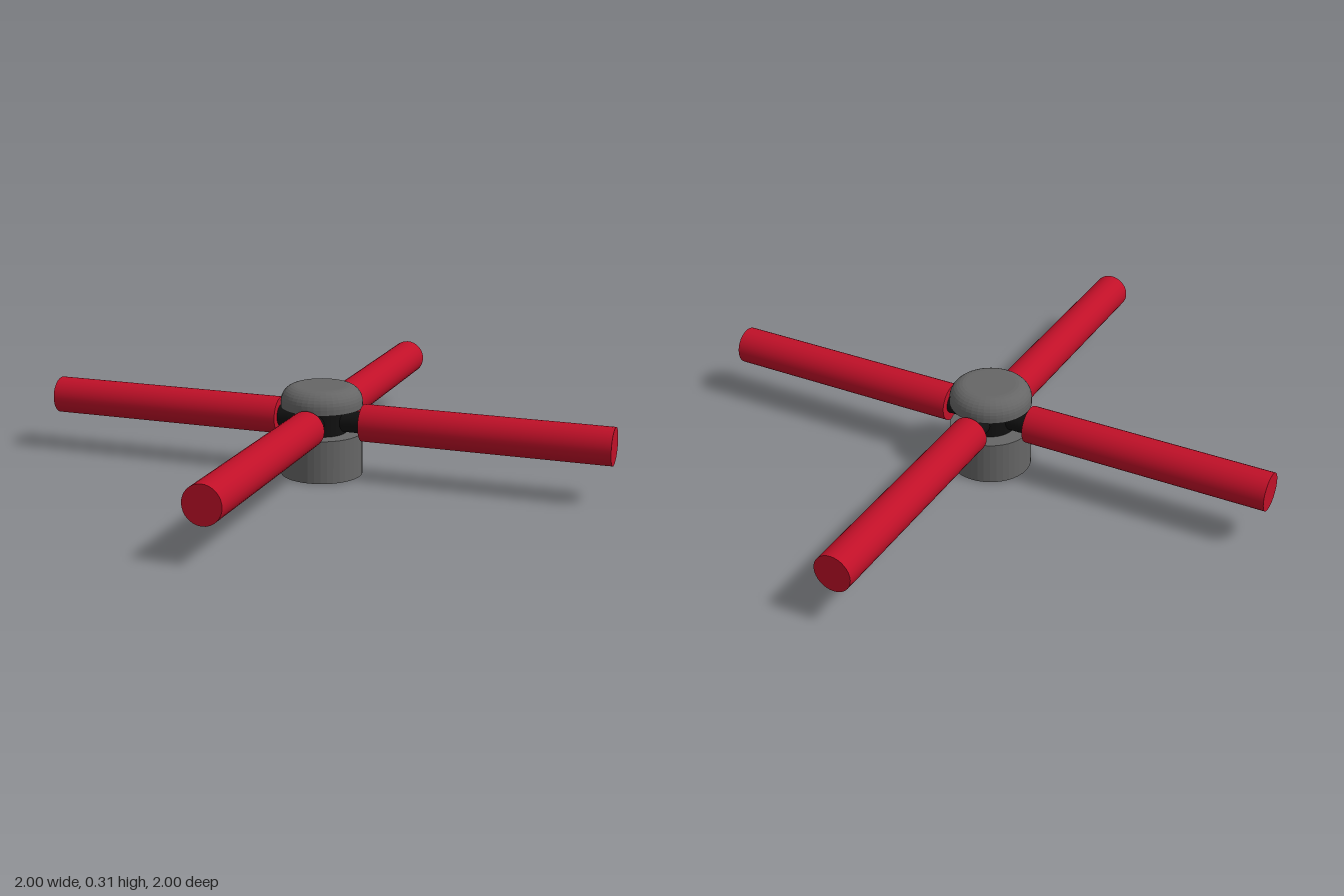
import * as THREE from 'three';

export function createModel() {
  const model = new THREE.Group();
  const grey = new THREE.MeshStandardMaterial({ color: 0x666666, flatShading: true });
  const black = new THREE.MeshStandardMaterial({ color: 0x111111 });
  const red = new THREE.MeshStandardMaterial({ color: 0xc01028 });
  const axisY = 0.19;

  function add(parent, name, geometry, material, x, y) {
    const mesh = new THREE.Mesh(geometry, material);
    mesh.name = name;
    mesh.position.set(x, y, 0);
    parent.add(mesh);
    return mesh;
  }

  // Hub: drum below, narrow core, rounded cap above
  add(model, 'hubBase', new THREE.CylinderGeometry(0.14, 0.14, 0.148, 40), grey, 0, 0.074);
  add(model, 'hubCore', new THREE.CylinderGeometry(0.085, 0.085, 0.12, 40), black, 0, axisY);

  const capProfile = [new THREE.Vector2(0, 0.236), new THREE.Vector2(0.14, 0.236)];
  for (let i = 0; i <= 8; i++) {
    const a = (i / 8) * Math.PI / 2;
    capProfile.push(new THREE.Vector2(0.085 + 0.055 * Math.cos(a), 0.255 + 0.055 * Math.sin(a)));
  }
  capProfile.push(new THREE.Vector2(0, 0.31));
  add(model, 'hubCap', new THREE.LatheGeometry(capProfile, 40), grey, 0, 0);

  // Four round arms, each on a thin spindle
  const armGeometry = new THREE.CylinderGeometry(0.064, 0.064, 0.85, 32).rotateZ(Math.PI / 2);
  const spindleGeometry = new THREE.CylinderGeometry(0.037, 0.037, 0.16, 32).rotateZ(Math.PI / 2);
  for (let i = 0; i < 4; i++) {
    const spoke = new THREE.Group();
    spoke.name = 'spoke' + (i + 1);
    add(spoke, 'arm', armGeometry, red, 0.575, axisY);
    add(spoke, 'spindle', spindleGeometry, black, 0.08, axisY);
    spoke.rotation.y = i * Math.PI / 2;
    model.add(spoke);
  }
  return model;
}
